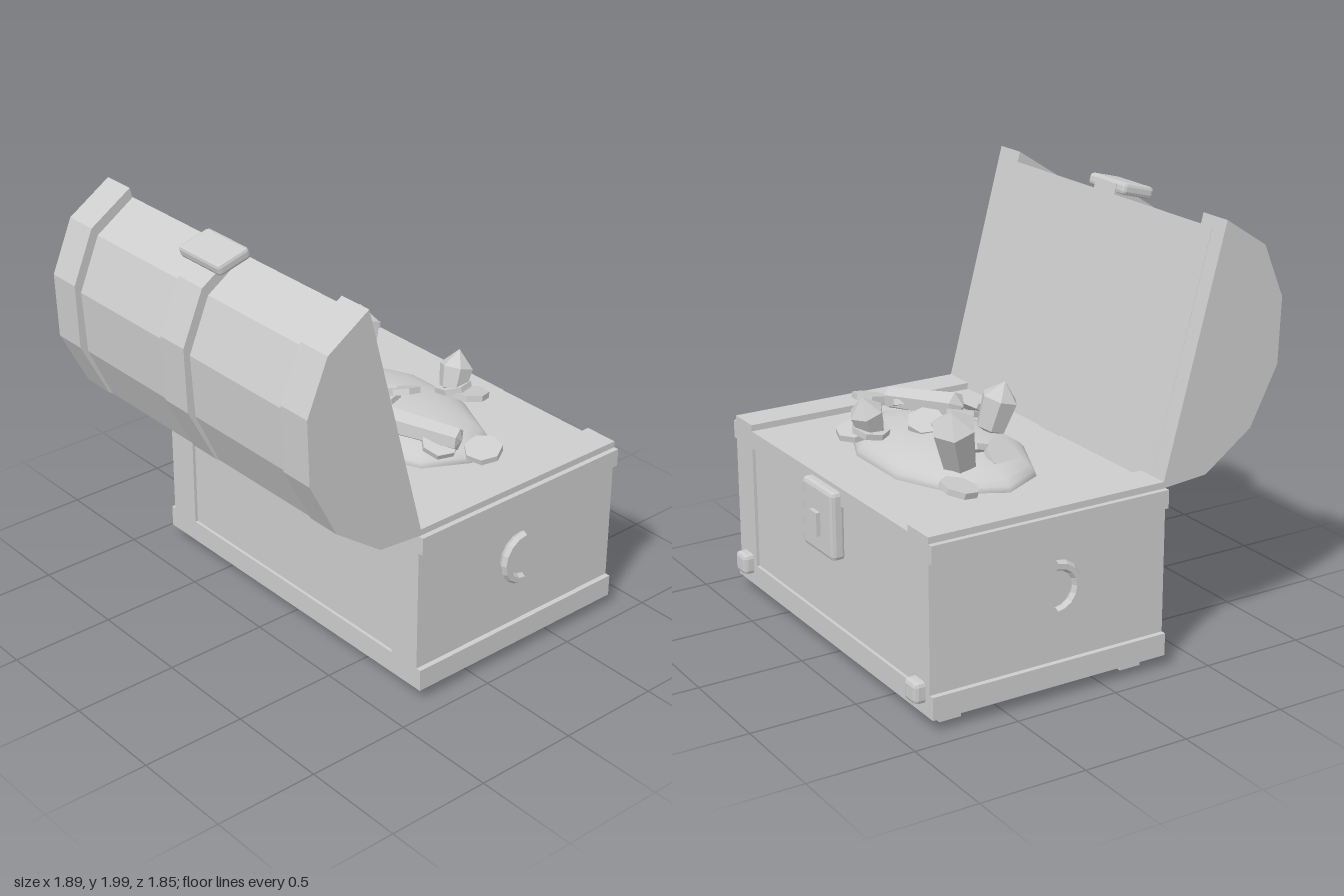
import * as THREE from 'three';
import { RoundedBoxGeometry } from 'three/addons/geometries/RoundedBoxGeometry.js';

export function createModel() {
  const root = new THREE.Group();
  root.name = 'treasureChest';
  const grey = new THREE.MeshStandardMaterial({ color: 0xcccccc });

  // Facet a geometry by giving every triangle its own normals
  const facet = (geo) => {
    const g = geo.index ? geo.toNonIndexed() : geo;
    g.computeVertexNormals();
    return g;
  };
  const add = (name, geo, x = 0, y = 0, z = 0) => {
    const mesh = new THREE.Mesh(geo, grey);
    mesh.name = name;
    mesh.position.set(x, y, z);
    root.add(mesh);
    return mesh;
  };
  // Box given by its limits on each axis
  const block = (name, x0, x1, y0, y1, z0, z1) =>
    add(name, new THREE.BoxGeometry(x1 - x0, y1 - y0, z1 - z0),
      (x0 + x1) / 2, (y0 + y1) / 2, (z0 + z1) / 2);
  const bevelBox = (w, h, d, r) => facet(new RoundedBoxGeometry(w, h, d, 1, r));

  // Body core, with frames around the recessed front and back panels
  const back = -0.86, front = 0.325, inset = 0.015;
  block('bodyCore', -0.885, 0.885, 0.06, 0.84, back + inset, front - inset);
  for (const [side, z0, z1] of [['front', front - inset, front], ['back', back, back + inset]]) {
    block(side + 'BottomRail', -0.72, 0.72, 0.06, 0.165, z0, z1);
    block(side + 'TopRail', -0.72, 0.72, 0.755, 0.84, z0, z1);
    for (const s of [-1, 1]) {
      const [a, b] = s < 0 ? [-0.885, -0.72] : [0.72, 0.885];
      block(side + 'CornerPost', a, b, 0.06, 0.84, z0, z1);
    }
  }

  // Side bands, raised end strips, feet, rivets and handles
  for (const s of [-1, 1]) {
    const band = (name, x0, x1, y0, y1) =>
      block(name, Math.min(s * x0, s * x1), Math.max(s * x0, s * x1), y0, y1, back, front);
    band('sideBottomBand', 0.885, 0.91, 0.06, 0.165);
    band('sideTopBand', 0.885, 0.91, 0.755, 0.84);
    band('endStrip', 0.72, 0.885, 0.84, 0.87);

    for (const z of [0.195, -0.73]) {
      add('foot', new THREE.BoxGeometry(0.105, 0.06, 0.105), s * 0.78, 0.03, z);
    }
    add('rivet', bevelBox(0.1, 0.1, 0.07, 0.02), s * 0.8, 0.162, -0.875);

    const ring = new THREE.TorusGeometry(0.108, 0.024, 6, 8, Math.PI);
    ring.rotateZ(-Math.PI / 2).rotateY(-Math.PI / 2);
    add('handle', facet(ring), s * 0.922, 0.52, -0.265);
  }

  // Lock
  add('lockPlate', bevelBox(0.28, 0.32, 0.07, 0.02), 0, 0.66, -0.87);
  add('lockKnob', new THREE.BoxGeometry(0.065, 0.11, 0.04), 0, 0.645, -0.905);

  // Open lid: a solid faceted barrel with thicker straps, profiles as (z, y)
  const lidProfile = [[0.308, 0.845], [0.53, 0.875], [0.76, 1.02], [0.876, 1.272],
    [0.894, 1.565], [0.79, 1.81], [0.596, 1.938]];
  const strapProfile = [[0.307, 0.84], [0.54, 0.86], [0.777, 1.03], [0.915, 1.3],
    [0.925, 1.605], [0.82, 1.85], [0.61, 1.985]];
  const lidPiece = (name, profile, x0, x1) => {
    const shape = new THREE.Shape(profile.map(([z, y]) => new THREE.Vector2(z, y)));
    const geo = new THREE.ExtrudeGeometry(shape, { depth: x1 - x0, bevelEnabled: false });
    geo.rotateY(-Math.PI / 2);
    add(name, geo, x1, 0, 0);
  };
  lidPiece('lid', lidProfile, -0.8, 0.8);
  lidPiece('lidRightStrap', strapProfile, -0.885, -0.72);
  lidPiece('lidMiddleStrap', strapProfile, -0.08, 0.08);
  lidPiece('lidLeftStrap', strapProfile, 0.72, 0.885);
  const hasp = add('hasp', bevelBox(0.28, 0.055, 0.17, 0.016), 0, 1.95, 0.692);
  hasp.rotation.x = 0.256;

  // Smooth heap of treasure
  const heap = new THREE.SphereGeometry(1, 10, 8, 0, Math.PI * 2, 0, Math.PI / 2);
  heap.scale(0.575, 0.12, 0.352);
  add('treasureHeap', heap, 0, 0.84, -0.27);

  // Coins: x, y, z, tilt about x, tilt about z
  const coinGeo = facet(new THREE.CylinderGeometry(0.088, 0.088, 0.028, 7));
  const coins = [
    [-0.565, 0.91, -0.52, 0.2, 0.15], [0.635, 0.93, -0.28, 0.2, -0.1],
    [0.01, 0.965, -0.23, 0.1, 0.1], [0.055, 0.98, -0.315, -0.2, 0.35],
    [0.145, 0.95, -0.055, 0.25, -0.2], [0.28, 0.925, 0.06, 0.6, -0.15],
    [0.225, 0.94, -0.585, -0.15, 0.1], [0.145, 0.965, -0.55, 0.1, 0.2],
    [-0.37, 0.925, -0.18, 0.3, 0.7], [-0.28, 0.945, -0.29, 0.2, -0.5],
    [0.46, 0.93, -0.18, 0.2, -0.4],
  ];
  coins.forEach(([x, y, z, rx, rz], i) => {
    const coin = add('coin', coinGeo, x, y, z);
    coin.rotation.set(rx, 0, rz);
    coin.rotateY(i * 0.7);
  });

  // Six-sided crystals running from a base point to a tip
  const crystal = (base, tip, r, point) => {
    const a = new THREE.Vector3(...base), dir = new THREE.Vector3(...tip).sub(a);
    const len = dir.length();
    const profile = [[0, 0], [r * 0.8, point * 0.4], [r, len - point], [0, len]]
      .map(([x, y]) => new THREE.Vector2(x, y));
    const mesh = add('crystal', facet(new THREE.LatheGeometry(profile, 6)), ...base);
    mesh.quaternion.setFromUnitVectors(new THREE.Vector3(0, 1, 0), dir.normalize());
  };
  crystal([-0.33, 0.9, -0.37], [-0.43, 1.195, -0.475], 0.1, 0.08);
  crystal([0.155, 0.93, -0.53], [0.13, 1.13, -0.6], 0.08, 0.08);
  crystal([-0.08, 0.92, -0.07], [-0.11, 1.165, 0.0], 0.088, 0.08);
  crystal([0.54, 0.95, -0.24], [0.15, 0.98, -0.06], 0.066, 0.04);

  return root;
}
